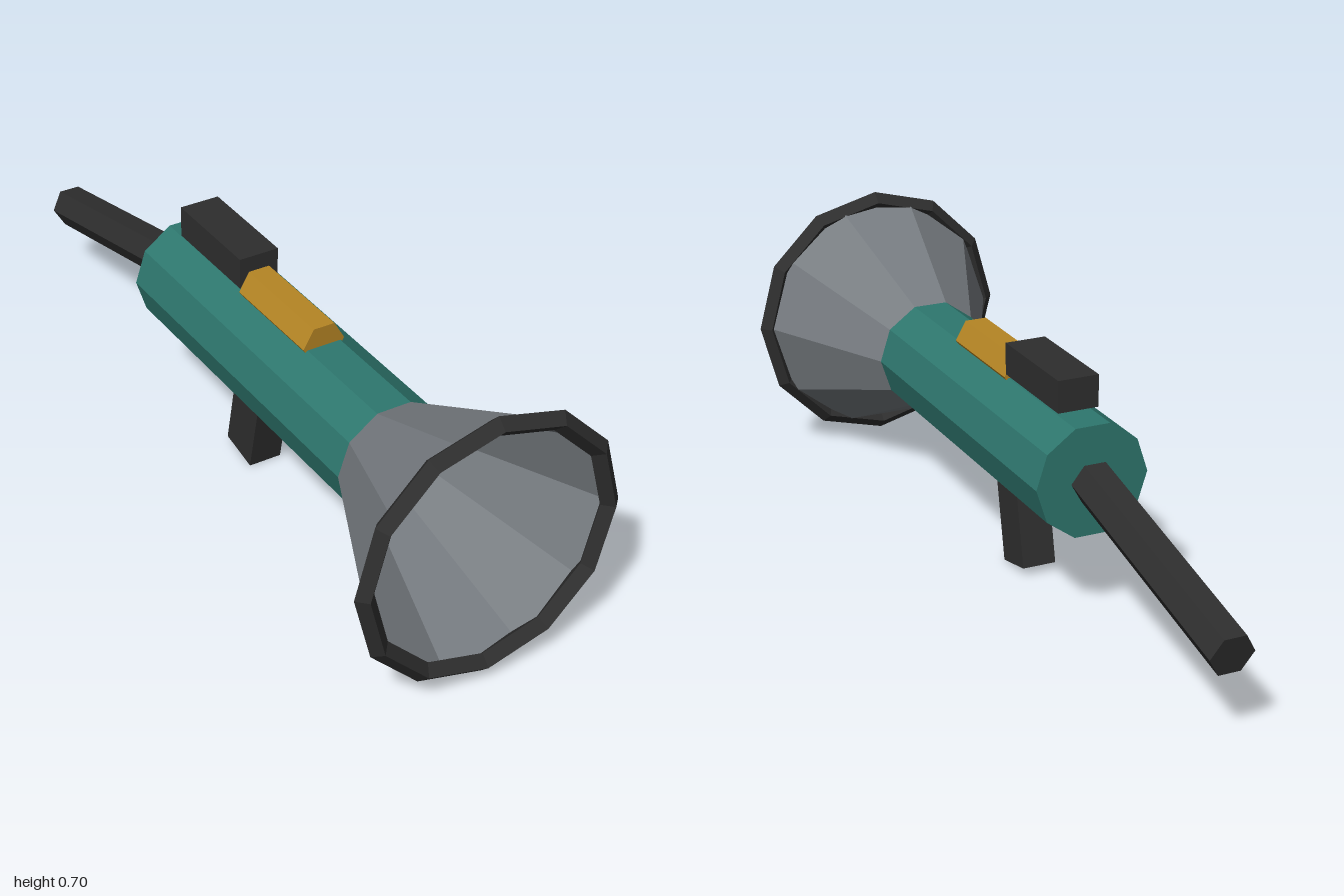
import * as THREE from 'three';

const AXIS_Y = 0.357; // height of the barrel axis

const paint = (name, color, side = THREE.FrontSide) => {
  const m = new THREE.MeshStandardMaterial({ color, flatShading: true, side });
  m.name = name;
  return m;
};

// Prism lying along z, with a corner pointing to +x
function prism(rFront, rBack, length, sides, open = false) {
  return new THREE.CylinderGeometry(rFront, rBack, length, sides, 1, open, Math.PI / 2)
    .rotateX(Math.PI / 2);
}

export function createModel() {
  const group = new THREE.Group();
  const teal = paint('teal', 0x2e776e);
  const grey = paint('steel grey', 0x777c81, THREE.DoubleSide);
  const black = paint('charcoal', 0x2e2e2e);
  const gold = paint('gold', 0xb58524);
  const green = paint('bright green', 0x38c97e);
  const pale = paint('pale green', 0x97c2ae);

  const add = (name, geometry, material, y, z, tilt = 0, parent = group) => {
    const mesh = new THREE.Mesh(geometry, material);
    mesh.name = name;
    mesh.position.set(0, y, z);
    mesh.rotation.x = tilt;
    parent.add(mesh);
    return mesh;
  };

  // Barrel, flared horn and diamond-section rim
  add('barrel', prism(0.143, 0.143, 0.94, 10), teal, AXIS_Y, 0.13);
  add('horn', prism(0.321, 0.143, 0.375, 10, true), grey, AXIS_Y, 0.7875);
  add('rim', new THREE.TorusGeometry(0.318, 0.025, 4, 12), black, AXIS_Y, 0.975);

  // Glowing disc with an eight-armed grille
  add('disc', prism(0.13, 0.13, 0.008, 10), green, AXIS_Y, 0.603);
  const grille = new THREE.Group();
  grille.name = 'grille';
  grille.position.set(0, AXIS_Y, 0.609);
  group.add(grille);
  const arms = 8;
  const tip = 0.116, half = 0.014;
  const notch = half / Math.sin(Math.PI / arms); // where neighbouring arms meet
  const star = new THREE.Shape();
  for (let i = 0; i < arms; i++) {
    const a = (i * 2 * Math.PI) / arms;
    const c = Math.cos(a), s = Math.sin(a);
    const corner = (u, v) => [u * c - v * s, u * s + v * c];
    if (i === 0) star.moveTo(...corner(tip, -half));
    else star.lineTo(...corner(tip, -half));
    star.lineTo(...corner(tip, half));
    const b = a + Math.PI / arms;
    star.lineTo(notch * Math.cos(b), notch * Math.sin(b));
  }
  add('grilleArms', new THREE.ExtrudeGeometry(star, { depth: 0.006, bevelEnabled: false }),
    pale, 0, -0.003, 0, grille);

  // Top fittings: half-sunk canister and sight block
  add('canister', prism(0.055, 0.055, 0.29, 6), gold, 0.497, 0.165);
  add('sight', new THREE.BoxGeometry(0.104, 0.08, 0.285), black, 0.545, -0.123);

  // Tilted grip and stock
  add('grip', new THREE.BoxGeometry(0.087, 0.27, 0.112), black, 0.143, 0.022, 0.2);
  add('stock', prism(0.055, 0.055, 0.664, 6), black, 0.285, -0.666, -0.22);

  return group;
}
